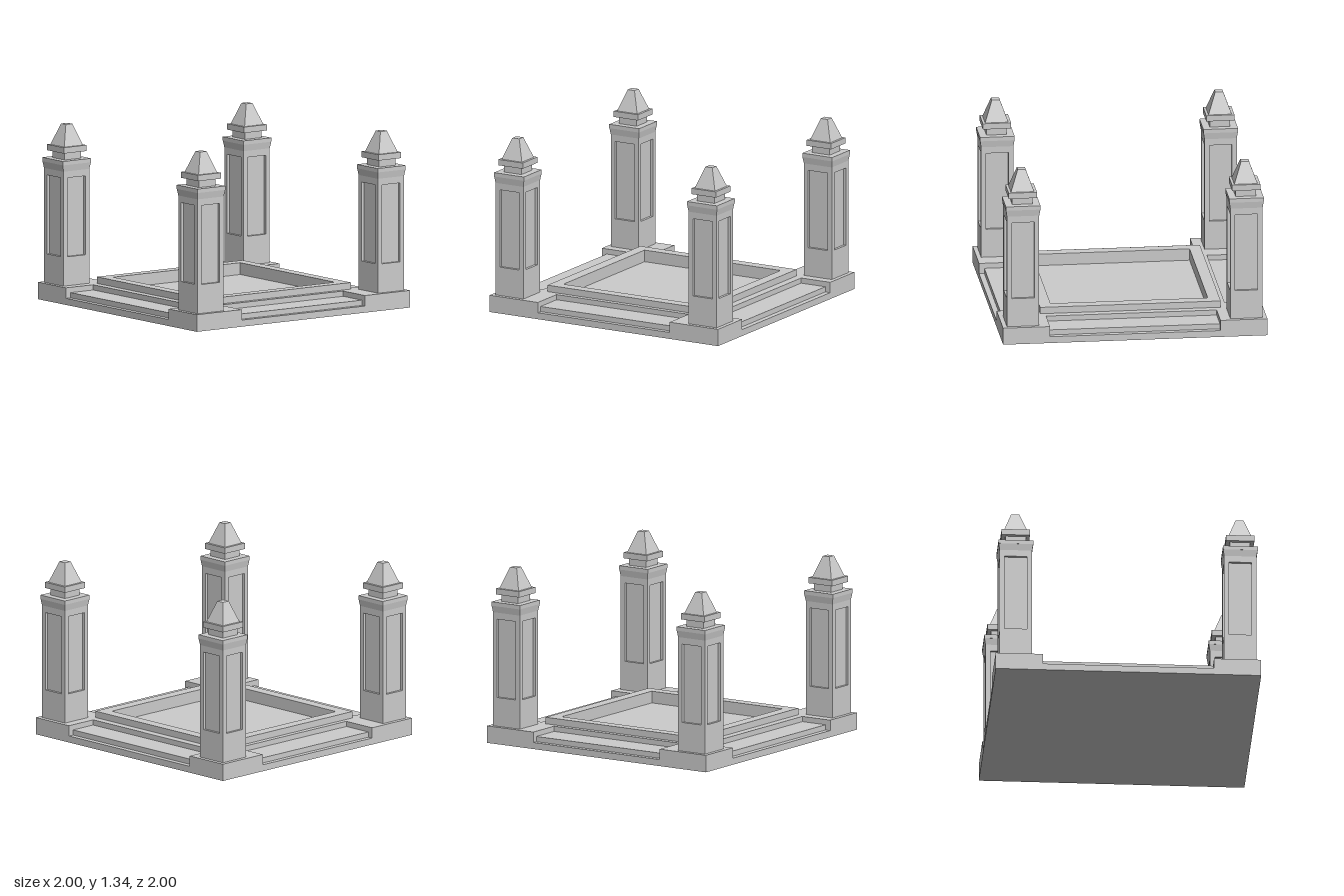
import * as THREE from 'three';

const material = new THREE.MeshStandardMaterial({ color: 0xcccccc, flatShading: true });

function add(parent, name, geometry) {
  const mesh = new THREE.Mesh(geometry, material);
  mesh.name = name;
  parent.add(mesh);
  return mesh;
}

// Square outline of half width h
const square = (h) => [[-h, -h], [h, -h], [h, h], [-h, h]];

// Square outline with a notch in each side.
// nx: half length of the front/back notches, bz: where their inner wall lies;
// nz: half length of the side notches, bx: where their inner wall lies.
const notched = (h, nx, bz, nz, bx) => [
  [-h, -h], [-nx, -h], [-nx, -bz], [nx, -bz], [nx, -h],
  [h, -h], [h, -nz], [bx, -nz], [bx, nz], [h, nz],
  [h, h], [nx, h], [nx, bz], [-nx, bz], [-nx, h],
  [-h, h], [-h, nz], [-bx, nz], [-bx, -nz], [-h, -nz],
];

// Flat outline raised from y0 to y1, with an optional square hole
function layer(points, y0, y1, hole = 0) {
  const toVectors = (list) => list.map(([x, y]) => new THREE.Vector2(x, y));
  const shape = new THREE.Shape(toVectors(points));
  if (hole) shape.holes.push(new THREE.Path(toVectors(square(hole))));
  return new THREE.ExtrudeGeometry(shape, { depth: y1 - y0, bevelEnabled: false })
    .rotateX(-Math.PI / 2)
    .translate(0, y0, 0);
}

// Square block tapering from half width h0 at y0 to h1 at y1
function taper(h0, h1, y0, y1) {
  return new THREE.CylinderGeometry(h1 * Math.SQRT2, h0 * Math.SQRT2, y1 - y0, 4)
    .rotateY(Math.PI / 4)
    .translate(0, (y0 + y1) / 2, 0);
}

function createPillar() {
  const pillar = new THREE.Group();
  const h = 0.122, panel = 0.085, back = h - 0.022;
  add(pillar, 'shaftFoot', taper(h, h, 0.13, 0.35));
  add(pillar, 'shaftPanels', layer(notched(h, panel, back, panel, back), 0.35, 0.95));
  add(pillar, 'shaftHead', taper(h, h, 0.95, 1.0));
  add(pillar, 'flare', taper(h, 0.13, 1.0, 1.05));
  add(pillar, 'capital', taper(0.131, 0.131, 1.05, 1.08));
  add(pillar, 'neck', taper(0.077, 0.077, 1.08, 1.135));
  add(pillar, 'capSlab', taper(0.107, 0.107, 1.135, 1.18));
  add(pillar, 'finial', taper(0.088, 0.03, 1.18, 1.34));
  return pillar;
}

export function createModel() {
  const model = new THREE.Group();
  model.name = 'pavilionBase';

  // Base in three layers, so each side is cut into steps between the corners
  const pool = 0.595;
  add(model, 'baseSlab', layer(square(1), 0, 0.05));
  add(model, 'lowerStep', layer(notched(1, 0.577, 0.96, 0.645, 0.957), 0.05, 0.09));
  add(model, 'upperStep', layer(notched(1, 0.577, 0.725, 0.645, 0.745), 0.09, 0.13, pool));

  // Raised rim round the sunken floor
  add(model, 'rim', layer(square(0.683), 0.13, 0.18, pool));

  // A pillar on each corner
  for (const x of [-1, 1]) {
    for (const z of [-1, 1]) {
      const pillar = createPillar();
      pillar.name = (z > 0 ? 'front' : 'back') + (x > 0 ? 'Left' : 'Right') + 'Pillar';
      pillar.position.set(x * 0.845, 0, z * 0.845);
      model.add(pillar);
    }
  }
  return model;
}
